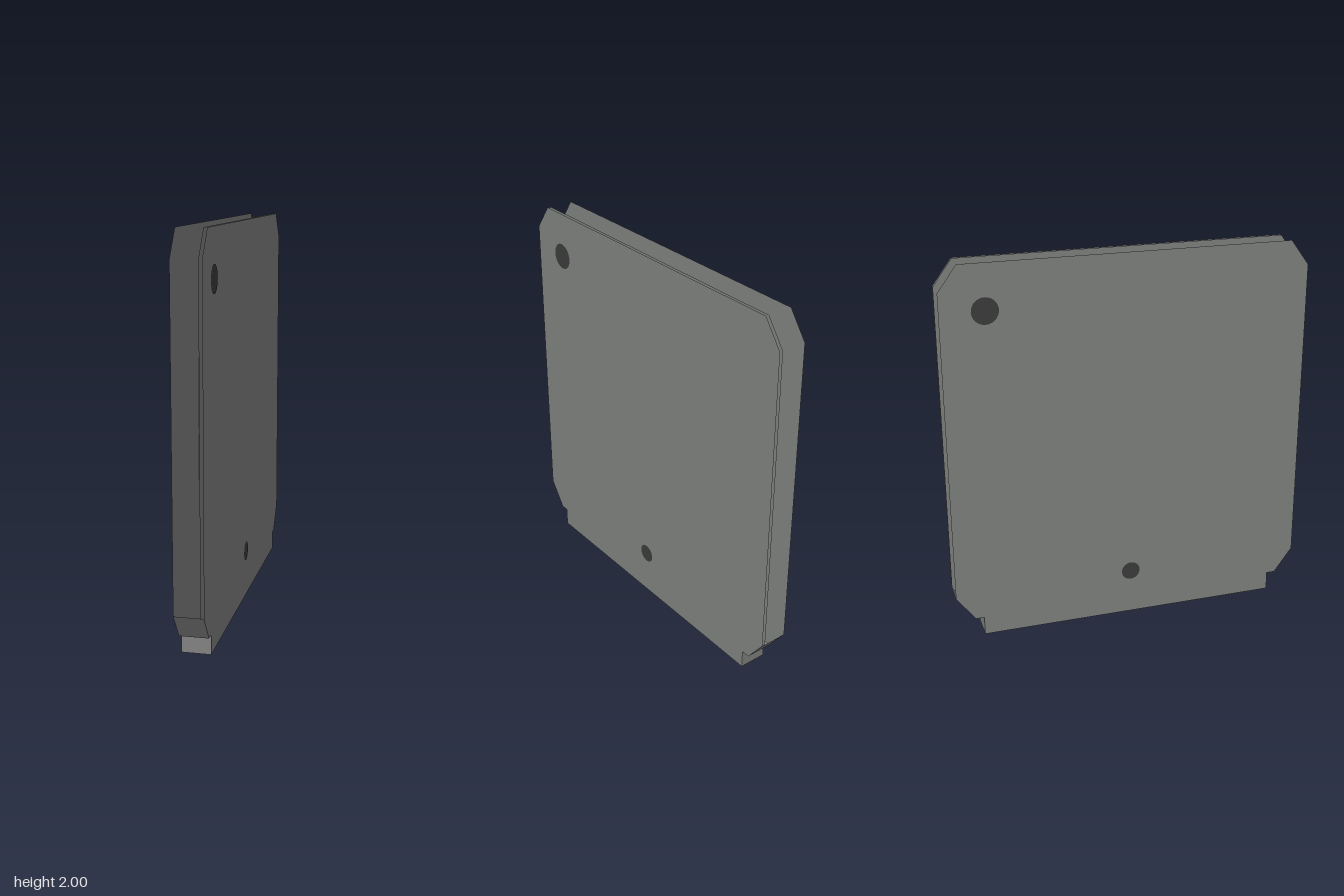
import * as THREE from 'three';

export function createModel() {
  const model = new THREE.Group();
  const casing = new THREE.MeshStandardMaterial({ color: 0x808280, side: THREE.DoubleSide });
  casing.name = 'casing grey';
  const dark = new THREE.MeshStandardMaterial({ color: 0x3c3c3c, side: THREE.DoubleSide });
  dark.name = 'dark grey';

  const halfThick = 0.073;
  const innerX = 0.056;

  const add = (parent, name, geometry, material, x = 0, y = 0, z = 0) => {
    const mesh = new THREE.Mesh(geometry, material);
    mesh.name = name;
    mesh.position.set(x, y, z);
    parent.add(mesh);
    return mesh;
  };

  // Half outline of the panel, from the tab at the bottom to the top edge
  const half = [[0.81, 0], [0.81, 0.1], [0.855, 0.1], [0.953, 0.235], [0.953, 1.868], [0.855, 2]];
  const mirrored = half.map(([u, y]) => [-u, y]).reverse();
  const outline = new THREE.Shape([...half, ...mirrored].map(([u, y]) => new THREE.Vector2(u, y)));
  const sheet = new THREE.ShapeGeometry(outline);

  // Two outer faces, each with an upper and a lower round mark
  for (const side of [1, -1]) {
    const face = new THREE.Group();
    face.name = side > 0 ? 'leftFace' : 'rightFace';
    face.rotation.y = side * Math.PI / 2;
    face.position.x = side * halfThick;
    add(face, 'panel', sheet, casing);
    add(face, 'upperHole', new THREE.CircleGeometry(0.068, 32), dark, -0.73, 1.765, 0.002);
    add(face, 'lowerHole', new THREE.CircleGeometry(0.05, 32), dark, 0, 0.248, 0.002);
    model.add(face);
  }

  // Thin liner just inside one face
  const liner = add(model, 'innerLiner', sheet, casing, innerX);
  liner.rotation.y = Math.PI / 2;

  // Block enclosed between the faces
  add(model, 'innerBlock', new THREE.BoxGeometry(innerX + halfThick, 0.605, 0.88), casing,
    (innerX - halfThick) / 2, 1.053, 0);

  // Bottom rim: tab and lower chamfers; the sides and top stay open
  const rim = new THREE.Group();
  rim.name = 'bottomRim';
  const path = [...mirrored.slice(2), ...half.slice(0, 4)];
  for (let i = 0; i < path.length - 1; i++) {
    const [z0, y0] = path[i];
    const [z1, y1] = path[i + 1];
    const strip = new THREE.PlaneGeometry(2 * halfThick, Math.hypot(z1 - z0, y1 - y0));
    strip.rotateX(Math.atan2(z1 - z0, y1 - y0));
    add(rim, 'rimStrip', strip, casing, 0, (y0 + y1) / 2, (z0 + z1) / 2);
  }
  model.add(rim);

  return model;
}
